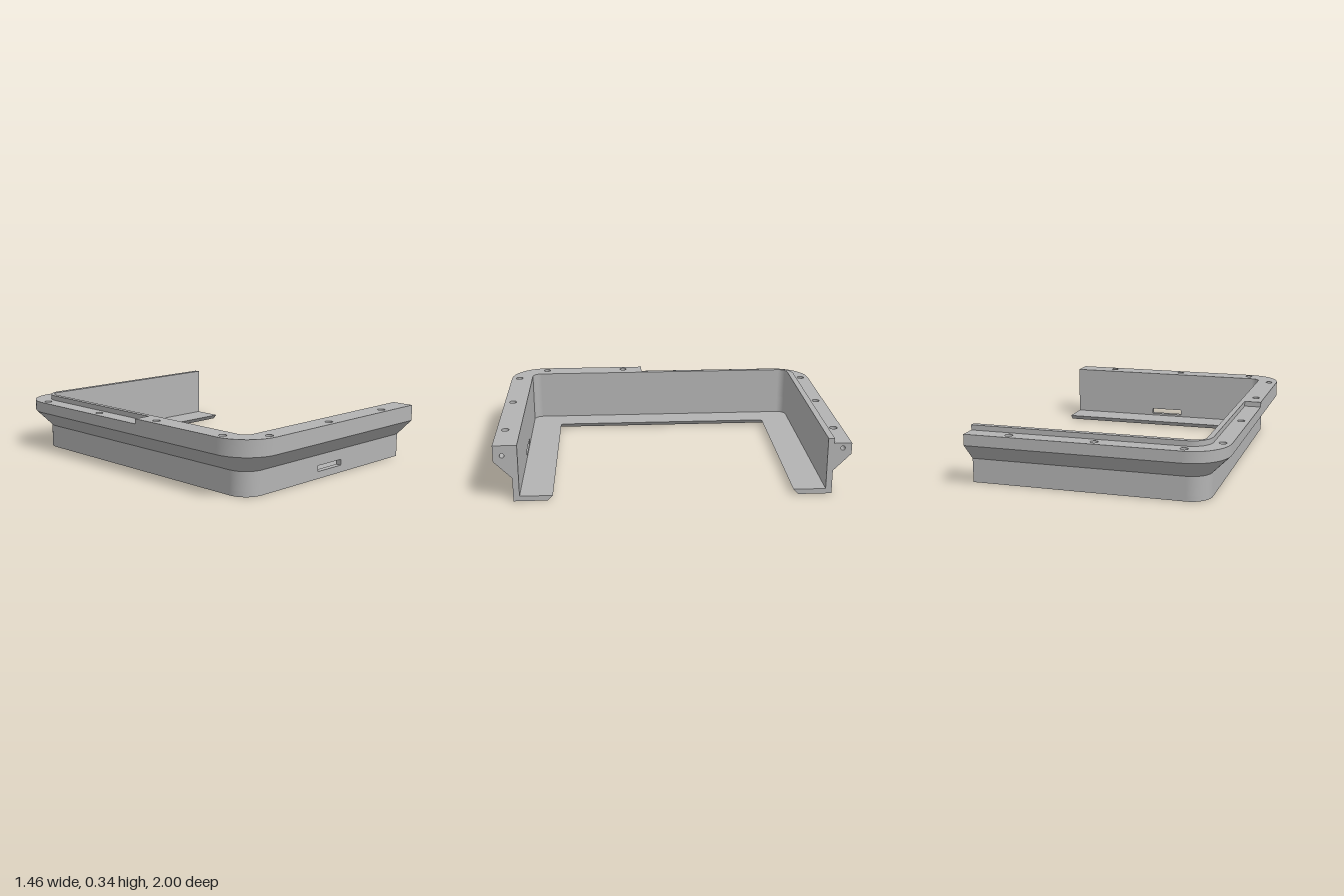
import * as THREE from 'three';

const ARC = 12;                 // segments per rounded corner
const SPLIT = ARC + 2;          // path index where the lowered rim ends (z = 0.13)
const PANEL = 2 * ARC + 4;      // path index where the slotted front panel starts
const LAST = PANEL + 1;
const END = 0.73, PANEL_X = -0.4, STEP_Z = 0.13;
const TOP = 0.335, LOW = 0.305, FLANGE = 0.24, SLOPE = 0.14, FLOOR = 0.03;

// U-shaped path, from the back arm's open end round to the front arm's open end
function ring(left, depth, r, y) {
  const pts = [[END, -depth]];
  for (let i = 0; i <= ARC; i++) {
    const a = (i / ARC) * Math.PI / 2;
    pts.push([left + r - r * Math.sin(a), -depth + r - r * Math.cos(a)]);
  }
  pts.push([left, STEP_Z]);
  for (let i = 0; i <= ARC; i++) {
    const a = (i / ARC) * Math.PI / 2;
    pts.push([left + r - r * Math.cos(a), depth - r + r * Math.sin(a)]);
  }
  pts.push([PANEL_X, depth], [END, depth]);
  return pts.map(([x, z]) => new THREE.Vector3(x, y, z));
}

const outer = y => ring(-0.73, 1, 0.22, y);
const wall = y => ring(-0.63, 0.9, 0.12, y);
const inner = y => ring(-0.6, 0.865, 0.055, y);

// Surface between two rings, smooth along the path
function strip(a, b, from = 0, to = LAST) {
  const pts = [], index = [];
  for (let i = from; i <= to; i++) {
    pts.push(a[i], b[i]);
    if (i < to) {
      const k = (i - from) * 2;
      index.push(k, k + 1, k + 2, k + 2, k + 1, k + 3);
    }
  }
  const g = new THREE.BufferGeometry().setFromPoints(pts);
  g.setIndex(index);
  g.computeVertexNormals();
  return g;
}

function circlePath(x, y, r) {
  return new THREE.Path().absarc(x, y, r, 0, Math.PI * 2, true);
}

// Flat horizontal face between two rings, pierced by screw holes
function rimFace(a, b, from, to, holes, y) {
  const loop = [...a.slice(from, to + 1), ...b.slice(from, to + 1).reverse()];
  const shape = new THREE.Shape(loop.map(p => new THREE.Vector2(p.x, -p.z)));
  holes.forEach(([x, z]) => shape.holes.push(circlePath(x, -z, 0.022)));
  return new THREE.ShapeGeometry(shape, 12).rotateX(-Math.PI / 2).translate(0, y, 0);
}

export function createModel() {
  const group = new THREE.Group();
  const grey = new THREE.MeshStandardMaterial({ color: 0xb3b3b3, side: THREE.DoubleSide });
  grey.name = 'grey';
  const add = (name, geometry, parent = group) => {
    const mesh = new THREE.Mesh(geometry, grey);
    mesh.name = name;
    parent.add(mesh);
    return mesh;
  };

  // Flange edge and sloping underside
  add('flangeEdgeLow', strip(outer(LOW), outer(FLANGE), 0, SPLIT));
  add('flangeEdgeHigh', strip(outer(TOP), outer(FLANGE), SPLIT, LAST));
  add('flangeSlope', strip(outer(FLANGE), wall(SLOPE)));

  // Upright wall, leaving room for the slotted panel
  add('outerWall', strip(wall(SLOPE), wall(FLOOR), 0, PANEL));
  add('outerWallBase', strip(wall(FLOOR), wall(0)));
  add('innerWall', strip(inner(FLOOR), inner(SLOPE), 0, PANEL));
  add('innerWallTop', strip(inner(SLOPE), inner(TOP)));

  // Floor lip with bevelled edge
  const lipLow = ring(-0.465, 0.71, 0.03, 0), lipHigh = ring(-0.435, 0.68, 0.02, FLOOR);
  add('lipUnderside', strip(wall(0), lipLow));
  add('lipBevel', strip(lipLow, lipHigh));
  add('lipTop', strip(lipHigh, inner(FLOOR)));

  // Front panel with a slot right through it
  const panel = new THREE.Shape([
    [PANEL_X, FLOOR], [END, FLOOR], [END, SLOPE], [PANEL_X, SLOPE],
  ].map(p => new THREE.Vector2(...p)));
  panel.holes.push(new THREE.Path([
    [-0.04, 0.042], [-0.04, 0.077], [0.17, 0.077], [0.17, 0.042],
  ].map(p => new THREE.Vector2(...p))));
  add('slottedPanel', new THREE.ExtrudeGeometry(panel, { depth: 0.035, bevelEnabled: false })
    .translate(0, 0, 0.865));

  // Rim tops: lowered at the back with a raised ridge, full height at the front
  const armX = [-0.51, -0.015, 0.48];
  const backHoles = [...armX.map(x => [x, -0.95]), [-0.68, -0.78], [-0.68, -0.26]];
  const frontHoles = [...armX.map(x => [x, 0.95]), [-0.68, 0.775], [-0.68, 0.255]];
  add('loweredRim', rimFace(outer(0), wall(0), 0, SPLIT, backHoles, LOW));
  add('ridgeSide', strip(wall(TOP), wall(LOW), 0, SPLIT));
  add('ridgeTop', strip(inner(TOP), wall(TOP), 0, SPLIT));
  add('raisedRim', rimFace(outer(0), inner(0), SPLIT, LAST, frontHoles, TOP));
  add('rimStep', new THREE.PlaneGeometry(0.1, TOP - LOW).rotateY(Math.PI))
    .position.set(-0.68, (TOP + LOW) / 2, STEP_Z);

  // Blind holes: a bore and its bottom
  const blindHole = (name, r, depth) => {
    const hole = new THREE.Group();
    hole.name = name;
    add('bore', new THREE.CylinderGeometry(r, r, depth, 24, 1, true).translate(0, -depth / 2, 0), hole);
    add('boreBottom', new THREE.CircleGeometry(r, 24).rotateX(-Math.PI / 2).translate(0, -depth, 0), hole);
    group.add(hole);
    return hole;
  };
  backHoles.forEach(([x, z]) => blindHole('screwHole', 0.022, 0.06).position.set(x, LOW, z));
  frontHoles.forEach(([x, z]) => blindHole('screwHole', 0.022, 0.06).position.set(x, TOP, z));

  // End faces of both arms, each with a pin hole
  for (const side of [-1, 1]) {
    const rim = side > 0 ? [[1, TOP]] : [[0.9, TOP], [0.9, LOW], [1, LOW]];
    const profile = [[0.865, TOP], ...rim, [1, FLANGE], [0.9, SLOPE], [0.9, 0],
      [0.71, 0], [0.68, FLOOR], [0.865, FLOOR]];
    const shape = new THREE.Shape(profile.map(([d, y]) => new THREE.Vector2(-side * d, y)));
    shape.holes.push(circlePath(-side * 0.95, 0.275, 0.013));
    add('armEnd', new THREE.ShapeGeometry(shape, 12).rotateY(Math.PI / 2).translate(END, 0, 0));
    const pin = blindHole('pinHole', 0.013, 0.08);
    pin.rotation.z = -Math.PI / 2;
    pin.position.set(END, 0.275, side * 0.95);
  }
  return group;
}
